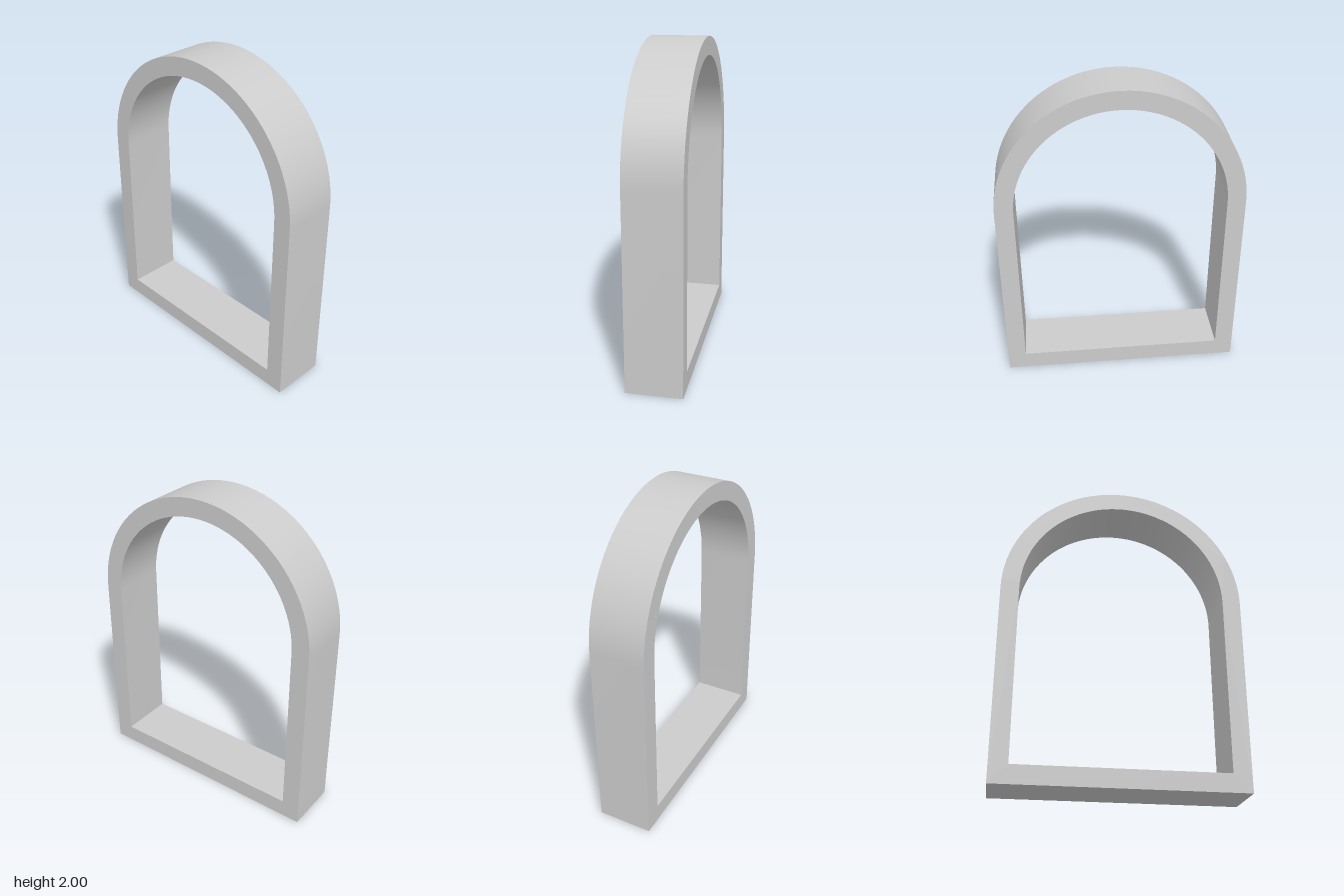
import * as THREE from 'three';
import { toCreasedNormals } from 'three/addons/utils/BufferGeometryUtils.js';

const SPRING = 1.235; // height where the round arch begins
const DEPTH = 0.35;

// Straight-sided outline closed by a semicircle on top
function archOutline(path, radius, bottom) {
  path.moveTo(-radius, bottom);
  path.lineTo(radius, bottom);
  path.lineTo(radius, SPRING);
  path.absarc(0, SPRING, radius, 0, Math.PI, false);
  path.closePath();
  return path;
}

export function createModel() {
  const group = new THREE.Group();
  group.name = 'archedWindowFrame';

  // Frame: outer arch with a concentric arched opening
  const shape = archOutline(new THREE.Shape(), 0.765, 0);
  shape.holes.push(archOutline(new THREE.Path(), 0.65, 0.115));
  const extruded = new THREE.ExtrudeGeometry(shape, {
    depth: DEPTH, bevelEnabled: false, curveSegments: 24,
  });
  extruded.translate(0, 0, -DEPTH / 2);

  // Smooth along the arch, sharp at the corners and rims
  const geometry = toCreasedNormals(extruded, Math.PI / 6);
  const frame = new THREE.Mesh(geometry, new THREE.MeshStandardMaterial({ color: 0xcccccc }));
  frame.name = 'archFrame';
  group.add(frame);
  return group;
}
